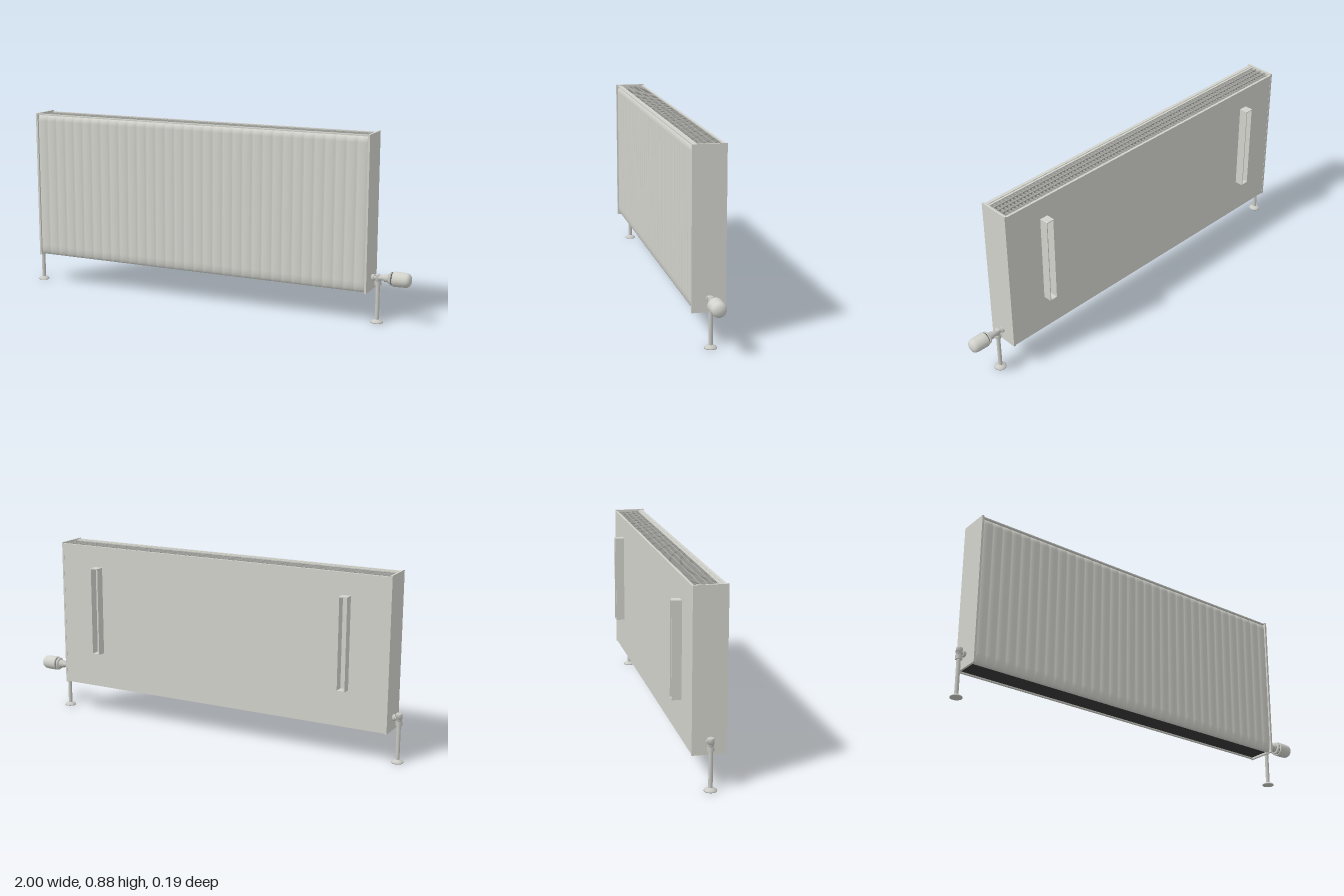
import * as THREE from 'three';

const mat = (name, color) => {
  const m = new THREE.MeshStandardMaterial({ color });
  m.name = name;
  return m;
};

export function createModel() {
  const enamel = mat('pale enamel', 0xd2d2cc);
  const finGrey = mat('grille grey', 0xa2a29e);
  const dark = mat('dark interior', 0x383838);
  const metal = mat('valve metal', 0xc8c8c4);
  const root = new THREE.Group();
  root.name = 'radiator';

  const add = (parent, name, geo, material, x = 0, y = 0, z = 0) => {
    const m = new THREE.Mesh(geo, material);
    m.name = name;
    m.position.set(x, y, z);
    parent.add(m);
    return m;
  };
  // Box given by its min and max corners
  const box = (parent, name, material, x0, x1, y0, y1, z0, z1) =>
    add(parent, name, new THREE.BoxGeometry(x1 - x0, y1 - y0, z1 - z0), material,
      (x0 + x1) / 2, (y0 + y1) / 2, (z0 + z1) / 2);
  const lathe = (pts, seg = 28) =>
    new THREE.LatheGeometry(pts.map(([r, y]) => new THREE.Vector2(r, y)), seg);

  const L = -0.943, R = 0.811, B = 0.15, T = 0.88, ZB = -0.054, ZF = 0.098;
  const W = 0.01;

  // Casing: end plates and flat back
  box(root, 'endPlateRight', enamel, L, L + W, B, T, ZB, ZF);
  box(root, 'endPlateLeft', enamel, R - W, R, B, T, ZB, ZF);
  box(root, 'backPanel', enamel, L + W, R - W, B + 0.004, T - 0.006, ZB + 0.001, ZB + 0.012);

  // Front panel: shallow vertical flutes, rolled over at top and bottom
  const x0 = L + W, x1 = R - W, flutes = 34, per = 10;
  const rows = [];
  for (let i = 0; i <= 6; i++) {
    const a = (i / 6) * Math.PI / 2;
    rows.push([B + 0.002 + 0.05 * (1 - Math.cos(a)), Math.sin(a)]);
  }
  for (let i = 6; i >= 0; i--) {
    const a = (i / 6) * Math.PI / 2;
    rows.push([T - 0.008 - 0.03 * (1 - Math.cos(a)), Math.sin(a)]);
  }
  const front = new THREE.PlaneGeometry(1, 1, flutes * per, rows.length - 1);
  const p = front.attributes.position;
  for (let i = 0; i < p.count; i++) {
    const u = p.getX(i) + 0.5;
    const [y, k] = rows[Math.round((p.getY(i) + 0.5) * (rows.length - 1))];
    const ridge = Math.pow(Math.abs(Math.sin(u * flutes * Math.PI)), 0.6);
    p.setXYZ(i, x0 + u * (x1 - x0), y, 0.076 + k * (0.013 + 0.005 * ridge));
  }
  front.computeVertexNormals();
  add(root, 'flutedFrontPanel', front, enamel);
  box(root, 'frontPanelBacking', enamel, x0, x1, B + 0.004, T - 0.006, 0.066, 0.077);
  box(root, 'frontTopRail', enamel, x0, x1, T - 0.009, T - 0.003, 0.076, 0.092);

  // Dark core, recessed at top and bottom
  box(root, 'core', dark, x0, x1, B + 0.01, T - 0.025, ZB + 0.012, 0.066);

  // Top grille: long rails crossed by narrow slats
  const grille = new THREE.Group();
  grille.name = 'topGrille';
  root.add(grille);
  const slats = 88, pitch = (x1 - x0) / slats;
  for (let i = 0; i < slats; i++) {
    const x = x0 + (i + 0.5) * pitch;
    box(grille, 'slat', finGrey, x - 0.004, x + 0.004, T - 0.026, T - 0.01, ZB + 0.012, 0.066);
  }
  for (const z of [-0.01, 0.017, 0.044])
    box(grille, 'rail', finGrey, x0, x1, T - 0.02, T - 0.007, z - 0.003, z + 0.003);

  // Wall brackets: shallow trays open to the rear
  for (const x of [-0.73, 0.595]) {
    const g = new THREE.Group();
    g.name = 'wallBracket';
    root.add(g);
    const h = 0.021, t = 0.004, z0 = -0.096;
    box(g, 'bracketSide', enamel, x - h, x - h + t, 0.332, 0.771, z0, ZB + 0.002);
    box(g, 'bracketSide', enamel, x + h - t, x + h, 0.332, 0.771, z0, ZB + 0.002);
    box(g, 'bracketCap', enamel, x - h + t, x + h - t, 0.767, 0.771, z0, ZB + 0.002);
    box(g, 'bracketCap', enamel, x - h + t, x + h - t, 0.332, 0.336, z0, ZB + 0.002);
  }

  // Pipe, floor collar and angled fitting at each end
  const ZV = 0.021, YV = 0.212;
  const fitting = (name, x, side) => {
    const g = new THREE.Group();
    g.name = name;
    g.position.set(x, 0, ZV);
    root.add(g);
    add(g, 'pipe', new THREE.CylinderGeometry(0.0095, 0.0095, 0.19, 20), metal, 0, 0.1, 0);
    add(g, 'floorCollar',
      lathe([[0, 0], [0.028, 0], [0.028, 0.004], [0.022, 0.009], [0.013, 0.014], [0.0095, 0.015]]), metal);
    add(g, 'pipeNut', new THREE.CylinderGeometry(0.016, 0.016, 0.02, 6), metal, 0, 0.188, 0);
    add(g, 'valveBody', lathe([[0, 0], [0.013, 0], [0.013, 0.03], [0.011, 0.034], [0, 0.034]]),
      metal, 0, 0.196, 0);
    const reach = Math.abs((side > 0 ? R : L) - x) + 0.004;
    const tail = add(g, 'tailPipe', new THREE.CylinderGeometry(0.01, 0.01, reach, 20), metal,
      -side * reach / 2, YV, 0);
    tail.rotation.z = Math.PI / 2;
    const nut = add(g, 'unionNut', new THREE.CylinderGeometry(0.016, 0.016, 0.012, 6), metal,
      -side * (reach - 0.012), YV, 0);
    nut.rotation.z = Math.PI / 2;
    return g;
  };

  const lock = fitting('lockshieldValve', -0.973, -1);
  add(lock, 'lockshieldCap', lathe([[0, 0], [0.015, 0], [0.015, 0.022], [0.012, 0.026], [0, 0.026]]),
    metal, 0, 0.21, 0);

  // Thermostatic head lying along +x
  const valve = fitting('thermostaticValve', 0.842, 1);
  const head = new THREE.Group();
  head.name = 'thermostaticHead';
  head.position.set(0, YV + 0.003, 0);
  head.rotation.z = -Math.PI / 2;
  valve.add(head);
  add(head, 'neck', lathe([[0, 0], [0.013, 0], [0.013, 0.03], [0.018, 0.032], [0.018, 0.046],
    [0.022, 0.05], [0.022, 0.058], [0, 0.058]]), metal);
  add(head, 'headBase', lathe([[0, 0.056], [0.026, 0.056], [0.031, 0.06], [0.032, 0.068], [0, 0.068]], 36), enamel);
  add(head, 'headGap', new THREE.CylinderGeometry(0.03, 0.03, 0.006, 36), dark, 0, 0.07, 0);
  add(head, 'headKnob', lathe([[0, 0.072], [0.033, 0.072], [0.035, 0.077], [0.035, 0.1], [0.034, 0.13],
    [0.032, 0.142], [0.027, 0.15], [0.018, 0.155], [0.008, 0.1575], [0, 0.158]], 36), enamel);

  return root;
}
